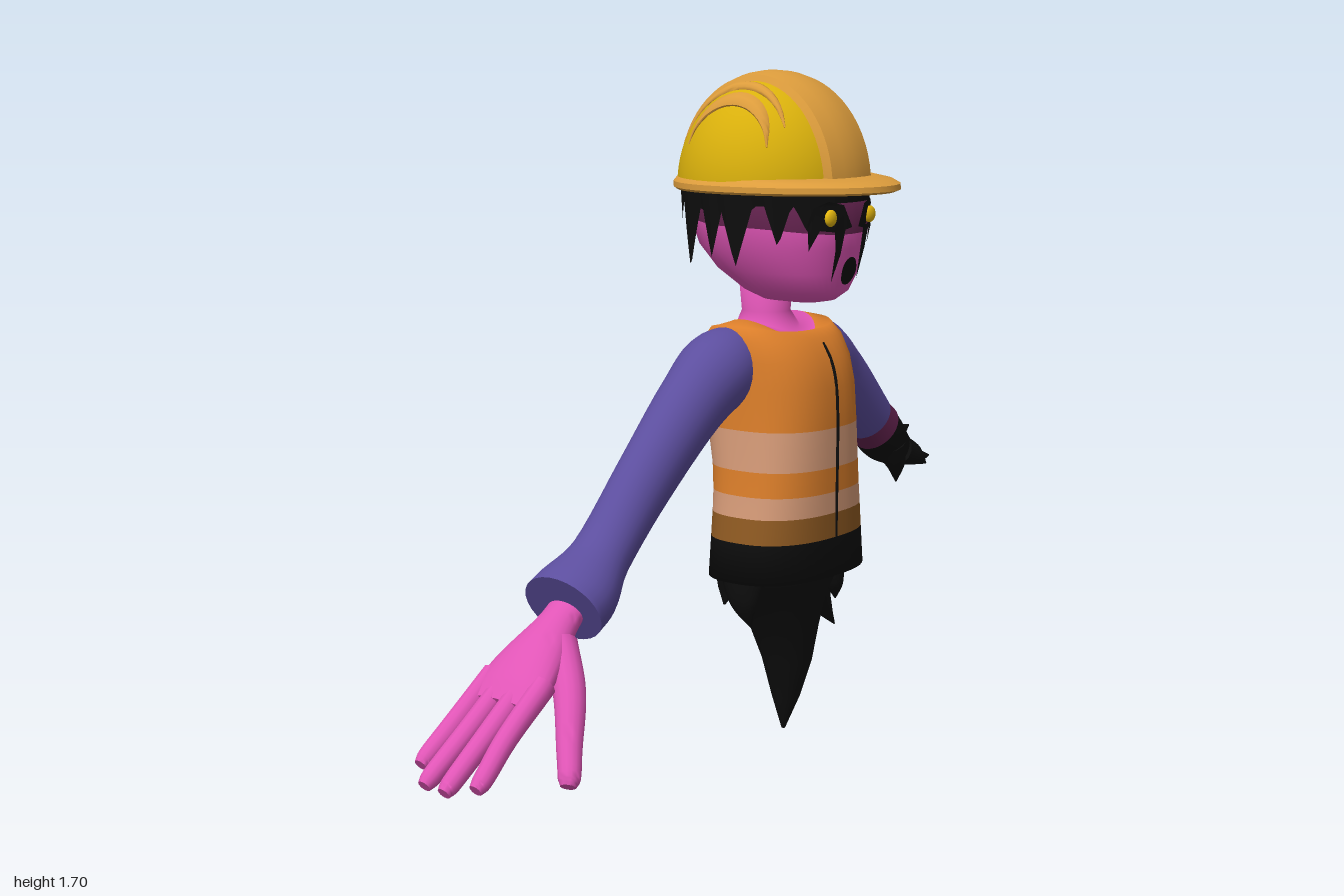
import * as THREE from 'three';
import { toCreasedNormals } from 'three/addons/utils/BufferGeometryUtils.js';

const V = (x, y, z) => new THREE.Vector3(x, y, z);
const mat = (name, color, side = THREE.FrontSide) => {
  const m = new THREE.MeshStandardMaterial({ color, side });
  m.name = name;
  return m;
};
const CX = 0.257; // body centre line

// Skin a list of rings; closed ends get a centre fan. segMats gives a material index per segment.
function loft(rings, caps = true, segMats = null) {
  const n = rings[0].length, pos = [], idx = [], geo = new THREE.BufferGeometry();
  rings.forEach(r => r.forEach(p => pos.push(p.x, p.y, p.z)));
  for (let k = 0; k < rings.length - 1; k++) {
    const start = idx.length;
    for (let i = 0; i < n; i++) {
      const a = k * n + i, b = k * n + (i + 1) % n;
      idx.push(a, b, a + n, b, b + n, a + n);
    }
    if (segMats) geo.addGroup(start, idx.length - start, segMats[k]);
  }
  if (caps) [0, rings.length - 1].forEach((k, end) => {
    const c = rings[k].reduce((s, p) => s.add(p), V(0, 0, 0)).divideScalar(n);
    const ci = pos.length / 3, start = idx.length;
    pos.push(c.x, c.y, c.z);
    for (let i = 0; i < n; i++) {
      const a = k * n + i, b = k * n + (i + 1) % n;
      end ? idx.push(a, b, ci) : idx.push(b, a, ci);
    }
    if (segMats) geo.addGroup(start, idx.length - start, segMats[end ? segMats.length - 1 : 0]);
  });
  geo.setAttribute('position', new THREE.Float32BufferAttribute(pos, 3));
  geo.setIndex(idx);
  geo.computeVertexNormals();
  return geo;
}

// Horizontal rounded ring; dipF and dipB lower its front and back
function oval(y, hx, zf, zb, { cx = CX, zc = (zf + zb) / 2, e = 2, dipF = 0, dipB = 0, n = 48 } = {}) {
  const pw = v => Math.sign(v) * Math.abs(v) ** (2 / e);
  return Array.from({ length: n }, (_, i) => {
    const a = i / n * Math.PI * 2, c = Math.cos(a);
    const dip = (c > 0 ? dipF : dipB) * c * c;
    return V(cx + hx * pw(Math.sin(a)), y - dip, zc + (c > 0 ? zf - zc : zc - zb) * pw(c));
  });
}

// Tapered tube through sections [x, y, z, radius, radius along ref]
function limb(sec, { ref = V(0, 0, 1), n = 16, steps = 20 } = {}) {
  const path = new THREE.CatmullRomCurve3(sec.map(s => V(s[0], s[1], s[2])));
  const size = new THREE.CatmullRomCurve3(sec.map((s, i) => V(s[3], s[4] ?? s[3], i)));
  const rings = [];
  for (let k = 0; k <= steps; k++) {
    const u = k / steps, c = path.getPoint(u), t = path.getTangent(u), s = size.getPoint(u);
    const b = ref.clone().addScaledVector(t, -ref.dot(t)).normalize();
    const nn = b.clone().cross(t);
    rings.push(Array.from({ length: n }, (_, i) => {
      const a = i / n * Math.PI * 2;
      return c.clone().addScaledVector(nn, Math.cos(a) * s.x).addScaledVector(b, Math.sin(a) * s.y);
    }));
  }
  return toCreasedNormals(loft(rings), 0.9);
}

const HEAD = [ // y, half width, front z, back z
  [1.14, 0.03, 0.09, -0.01], [1.147, 0.075, 0.13, -0.06], [1.17, 0.11, 0.16, -0.11], [1.22, 0.15, 0.18, -0.18],
  [1.28, 0.178, 0.19, -0.23], [1.335, 0.193, 0.197, -0.26], [1.44, 0.2, 0.195, -0.27]];
const HEAD_E = 2.3;

// Depth of the face surface at x, y
function faceZ(x, y) {
  let k = 0;
  while (k < HEAD.length - 2 && HEAD[k + 1][0] < y) k++;
  const u = (y - HEAD[k][0]) / (HEAD[k + 1][0] - HEAD[k][0]);
  const [, hx, zf, zb] = HEAD[k].map((v, i) => v + (HEAD[k + 1][i] - v) * u);
  return (zf + zb) / 2 + (zf - zb) / 2 * Math.max(0, 1 - Math.abs((x - CX) / hx) ** HEAD_E) ** (1 / HEAD_E);
}
function facePatch(points) {
  const g = new THREE.ShapeGeometry(new THREE.Shape(points.map(p => new THREE.Vector2(...p))));
  const p = g.attributes.position;
  for (let i = 0; i < p.count; i++) p.setZ(i, faceZ(p.getX(i), p.getY(i)) + 0.008);
  g.computeVertexNormals();
  return g;
}

export function createModel() {
  const pink = mat('pink skin', 0xe055b6), plum = mat('plum', 0x64234f), violet = mat('violet sleeve', 0x5c4e9e);
  const black = mat('black', 0x0d0d0d, THREE.DoubleSide), orange = mat('orange vest', 0xdb7e2a);
  const pale = mat('pale stripe', 0xd69b78), brown = mat('brown', 0x8f5a22);
  const yellow = mat('helmet yellow', 0xd9b00c), tan = mat('helmet tan', 0xdc9c3c), eyeMat = mat('eye yellow', 0xf0c010);
  const model = new THREE.Group();
  const add = (name, geo, m) => {
    const mesh = new THREE.Mesh(geo, m);
    mesh.name = name;
    model.add(mesh);
    return mesh;
  };

  // Vest with stripes, running into the pink collar and neck
  const rows = [
    [0.45, 0.228, 0.155, -0.155], [0.55, 0.215, 0.155, -0.155], [0.613, 0.207, 0.155, -0.155],
    [0.667, 0.2, 0.155, -0.157], [0.73, 0.195, 0.155, -0.163], [0.83, 0.188, 0.155, -0.185],
    [0.93, 0.185, 0.152, -0.218], [1.0, 0.185, 0.134, -0.214], [1.05, 0.18, 0.105, -0.195],
    [1.085, 0.165, 0.075, -0.175, 0.015, 0.02], [1.097, 0.115, 0.055, -0.165, 0.05, 0.06],
    [1.085, 0.075, 0.02, -0.145, 0.02, 0.02], [1.11, 0.058, -0.005, -0.13], [1.2, 0.062, 0, -0.14]];
  add('vest and neck', loft(rows.map(([y, hx, f, b, dipF, dipB], i) =>
    oval(y, hx, f, b, { dipF, dipB, e: i < 10 ? 2.5 : 2.1 })), true,
  [0, 1, 2, 3, 2, 3, 3, 3, 3, 3, 4, 4, 4]), [black, brown, pale, orange, pink]);
  add('zip', limb([[CX, 0.55, 0.155, 0.004], [CX, 0.93, 0.153, 0.004], [CX, 1, 0.135, 0.004], [CX, 1.04, 0.11, 0.004]],
    { ref: V(1, 0, 0), n: 6 }), black);

  // Ragged tail
  add('tail', loft([[0.01, 0.28, 0.004, -0.02, -0.03], [0.1, 0.28, 0.035, 0.02, -0.055], [0.2, 0.28, 0.055, 0.055, -0.085],
    [0.3, 0.265, 0.085, 0.08, -0.11], [0.38, 0.25, 0.125, 0.1, -0.13], [0.43, 0.25, 0.165, 0.115, -0.14],
    [0.48, 0.255, 0.2, 0.13, -0.145]].map(([y, cx, hx, f, b]) => oval(y, hx, f, b, { cx }))), black);
  [[[0.08, 0.47, 0, 0.045, 0.07], [0.067, 0.39, 0.01, 0.025, 0.04], [0.08, 0.33, 0.02, 0.002]],
    [[0.41, 0.47, -0.02, 0.05, 0.08], [0.405, 0.37, -0.02, 0.04, 0.05], [0.45, 0.3, -0.02, 0.022, 0.025], [0.5, 0.245, -0.02, 0.002]],
    [[0.14, 0.46, -0.09, 0.04], [0.14, 0.4, -0.1, 0.025], [0.125, 0.36, -0.1, 0.002]],
    [[0.36, 0.46, 0.06, 0.04], [0.37, 0.4, 0.07, 0.025], [0.39, 0.35, 0.06, 0.002]],
  ].forEach(s => add('tail wisp', limb(s), black));

  // Head, plum above the brow line
  add('head', loft(HEAD.map(([y, hx, f, b]) => oval(y, hx, f, b,
    { e: HEAD_E, dipF: y === 1.335 ? 0.018 : 0, dipB: y === 1.335 ? -0.035 : 0 })), true,
  [0, 0, 0, 0, 0, 1]), [pink, plum]);

  // Face
  const socket = [[0.005, 1.335], [0.03, 1.33], [0.036, 1.27], [0.046, 1.2], [0.054, 1.28], [0.062, 1.325],
    [0.1, 1.33], [0.115, 1.28], [0.125, 1.345], [0.115, 1.385], [0.08, 1.4], [0.035, 1.39]];
  for (const s of [-1, 1]) {
    add('eye socket', facePatch(socket.map(([x, y]) => [CX + s * (x + 0.008), y])), black);
    const eye = add('eye', new THREE.SphereGeometry(0.021, 20, 14), eyeMat);
    eye.position.set(CX + s * 0.083, 1.36, faceZ(CX + s * 0.083, 1.36) + 0.008);
    eye.scale.z = 0.5;
  }
  add('mouth', facePatch(Array.from({ length: 24 }, (_, i) => {
    const a = i / 12 * Math.PI;
    return [CX + 0.03 * Math.cos(a), 1.225 + 0.035 * Math.sin(a)];
  })), black);

  // Hair: a skirt under the helmet cut into pointed locks [angle, half width, length]
  const locks = [[0.62, 0.16, 0.07], [0.95, 0.14, 0.1], [1.4, 0.19, 0.15], [1.7, 0.15, 0.13], [2.08, 0.22, 0.165],
    [2.45, 0.15, 0.05], [2.85, 0.2, 0.04]];
  const hairTop = oval(1.45, 0.228, 0.198, -0.285, { n: 144 });
  const hairEnd = oval(1.39, 0.222, 0.203, -0.28, { n: 144 });
  hairEnd.forEach((p, i) => {
    const a = Math.PI - Math.abs(Math.PI - i / 144 * Math.PI * 2);
    p.y -= Math.max(a < 0.5 ? -0.005 : 0, ...locks.map(([c, w, l]) => l * (1 - Math.abs(a - c) / w)));
  });
  add('hair', loft([hairEnd, hairTop], false), black);

  // Helmet: dome, brim, centre ridge and side ribs
  const hc = V(CX, 1.43, -0.045);
  const dome = add('helmet dome', new THREE.SphereGeometry(1, 48, 20, 0, Math.PI * 2, 0, Math.PI / 2), yellow);
  dome.position.copy(hc);
  dome.scale.set(0.244, 0.27, 0.24);
  const brim = (y, g, front) => oval(y, 0.243 + g, front, -0.288 - g, { zc: -0.045 });
  add('helmet brim', toCreasedNormals(loft([brim(1.418, 0, 0.285), brim(1.424, 0.008, 0.3), brim(1.438, 0.008, 0.298),
    brim(1.448, 0, 0.275), oval(1.456, 0.235, 0.2, -0.275)]), 0.6), tan);

  const ridge = [];
  for (let k = 0; k <= 32; k++) {
    const t = k / 32 * Math.PI, w = 0.07 + 0.012 * Math.abs(Math.cos(t));
    const at = (x, r) => V(CX + x, hc.y + Math.sin(t) * 0.282 * r, hc.z + Math.cos(t) * 0.252 * r);
    const ring = [-1, -0.5, 0, 0.5, 1].map(f => at(f * w, Math.sqrt(1 - (f * w / 0.26) ** 2)));
    ring.push(at(w + 0.012, 0.88), at(-w - 0.012, 0.88));
    ridge.push(ring);
  }
  add('helmet ridge', toCreasedNormals(loft(ridge), 0.6), tan);

  for (const s of [-1, 1]) for (const [dx, t0, t1, r] of [[0.15, 0.65, 2.5, 0.022], [0.105, 0.75, 2.6, 0.014]]) {
    const sec = [];
    for (let k = 0; k <= 8; k++) {
      const u = k / 8, t = t0 + (t1 - t0) * u, bow = Math.sin(Math.PI * u);
      const x = dx + 0.04 * (1 - bow), q = Math.sqrt(1 - (x / 0.244) ** 2);
      sec.push([CX + s * x, hc.y + q * 0.27 * Math.sin(t), hc.z + q * 0.24 * Math.cos(t), 0.002 + 0.008 * bow, 0.002 + r * bow]);
    }
    add('helmet rib', limb(sec, { ref: V(s * 0.75, -0.65, 0), n: 10 }), tan);
  }

  // Right arm: long sleeve with flared cuff and an open hand
  add('right sleeve', limb([[0.15, 1.0, -0.07, 0.085], [0.06, 0.975, -0.07, 0.1, 0.098], [-0.04, 0.91, -0.07, 0.092, 0.085],
    [-0.23, 0.745, -0.067, 0.08, 0.072], [-0.4, 0.59, -0.06, 0.07, 0.075], [-0.49, 0.525, -0.052, 0.088, 0.105],
    [-0.545, 0.495, -0.05, 0.093, 0.108]], { n: 28, steps: 30 }), violet);
  add('right palm', limb([[-0.53, 0.49, -0.05, 0.035, 0.05], [-0.58, 0.455, -0.045, 0.042, 0.055], [-0.66, 0.4, -0.04, 0.048, 0.085],
    [-0.73, 0.35, -0.04, 0.038, 0.102], [-0.775, 0.32, -0.04, 0.022, 0.095]], { n: 24 }), pink);
  [[-0.115, -0.94, 0.205, -0.125], [-0.065, -0.982, 0.178, -0.073], [-0.012, -0.985, 0.175, -0.01], [0.04, -0.95, 0.185, 0.052]]
    .forEach(([z0, x, y, z]) => add('right finger', limb([[-0.71, 0.365, z0, 0.03, 0.027], [-0.85, 0.268, (z0 + z) / 2, 0.026],
      [x + 0.02, y + 0.014, z, 0.023], [x, y, z, 0.016]], { n: 12 }), pink));
  add('right thumb', limb([[-0.6, 0.43, -0.01, 0.04], [-0.66, 0.34, 0.07, 0.038], [-0.73, 0.24, 0.13, 0.03],
    [-0.765, 0.185, 0.16, 0.026], [-0.775, 0.17, 0.165, 0.018]]), pink);

  // Left arm: short sleeve, plum band, black clawed hand
  add('left sleeve', limb([[0.37, 1.0, -0.07, 0.085], [0.455, 0.975, -0.07, 0.1, 0.098], [0.56, 0.91, -0.07, 0.088, 0.082],
    [0.72, 0.77, -0.07, 0.071, 0.068]], { n: 28 }), violet);
  add('left arm band', limb([[0.7, 0.787, -0.07, 0.066], [0.757, 0.737, -0.07, 0.073, 0.069]], { n: 28 }), plum);
  add('left hand', limb([[0.745, 0.747, -0.07, 0.07, 0.067], [0.79, 0.707, -0.07, 0.07, 0.064], [0.85, 0.668, -0.068, 0.052, 0.05],
    [0.91, 0.645, -0.065, 0.03, 0.035]], { n: 24 }), black);
  [[[0.84, 0.68, -0.09, 0.04], [0.91, 0.695, -0.1, 0.024], [0.968, 0.71, -0.1, 0.002]],
    [[0.85, 0.665, -0.065, 0.045], [0.93, 0.635, -0.06, 0.03], [0.997, 0.6, -0.06, 0.002]],
    [[0.8, 0.68, -0.05, 0.045], [0.82, 0.63, -0.045, 0.028], [0.832, 0.575, -0.05, 0.002]],
    [[0.85, 0.66, -0.04, 0.035], [0.9, 0.64, -0.025, 0.02], [0.95, 0.635, -0.02, 0.002]],
  ].forEach(s => add('left claw', limb(s, { n: 12 }), black));

  return model;
}
